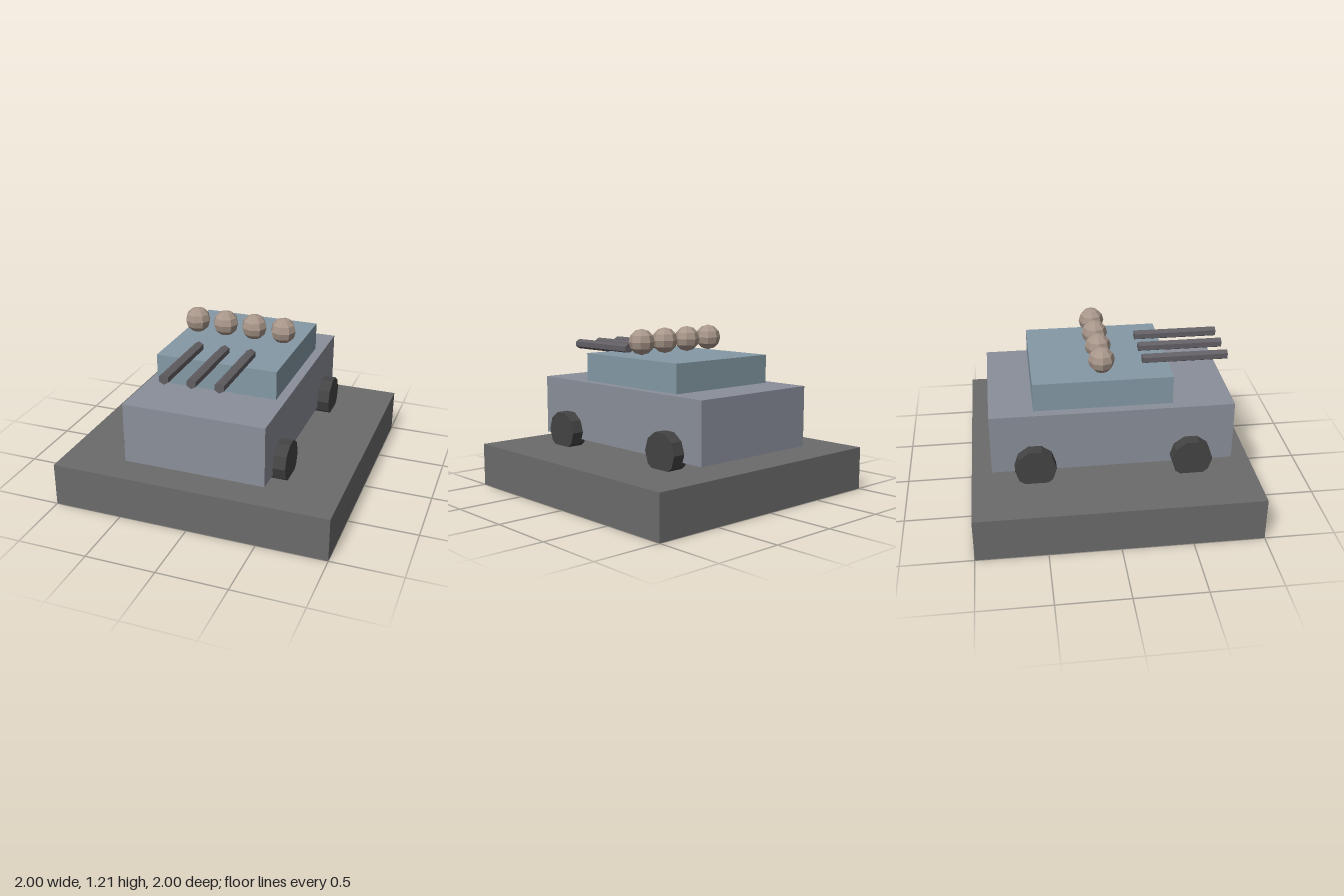
import * as THREE from 'three';

const paint = (color) => new THREE.MeshStandardMaterial({ color, flatShading: true });

export function createModel() {
  const model = new THREE.Group();

  const add = (name, geometry, material, x, y, z) => {
    const mesh = new THREE.Mesh(geometry, material);
    mesh.name = name;
    mesh.position.set(x, y, z);
    model.add(mesh);
    return mesh;
  };

  // Square plinth, hull and upper deck
  add('base', new THREE.BoxGeometry(2, 0.315, 2), paint(0x6b6b6b), 0, 0.1575, 0);
  add('hull', new THREE.BoxGeometry(1.02, 0.435, 1.71), paint(0x8a8f9a), 0, 0.5875, 0);
  add('upperDeck', new THREE.BoxGeometry(0.885, 0.205, 0.975), paint(0x8499a5), 0, 0.9075, -0.06);

  // Ten-sided wheels, sunk slightly into the plinth
  const wheelGeometry = new THREE.CylinderGeometry(0.145, 0.145, 0.122, 10).rotateZ(Math.PI / 2);
  const wheelPaint = paint(0x444444);
  for (const [side, x] of [['left', 0.539], ['right', -0.539]]) {
    for (const [end, z] of [['Front', 0.55], ['Rear', -0.55]]) {
      add(`${side}${end}Wheel`, wheelGeometry, wheelPaint, x, 0.427, z);
    }
  }

  // Three hexagonal barrels pointing forward
  const barrelGeometry = new THREE.CylinderGeometry(0.037, 0.037, 0.61, 6).rotateX(Math.PI / 2);
  const barrelPaint = paint(0x625f64);
  for (const i of [-1, 0, 1]) {
    add(`barrel${i + 2}`, barrelGeometry, barrelPaint, i * 0.195, 1.038, 0.55);
  }

  // Row of four faceted crew heads
  const headGeometry = new THREE.SphereGeometry(0.093, 8, 6);
  const headPaint = paint(0xa8968a);
  for (let i = 0; i < 4; i++) {
    add(`crewHead${i + 1}`, headGeometry, headPaint, (i - 1.5) * 0.22, 1.117, -0.061);
  }

  return model;
}
